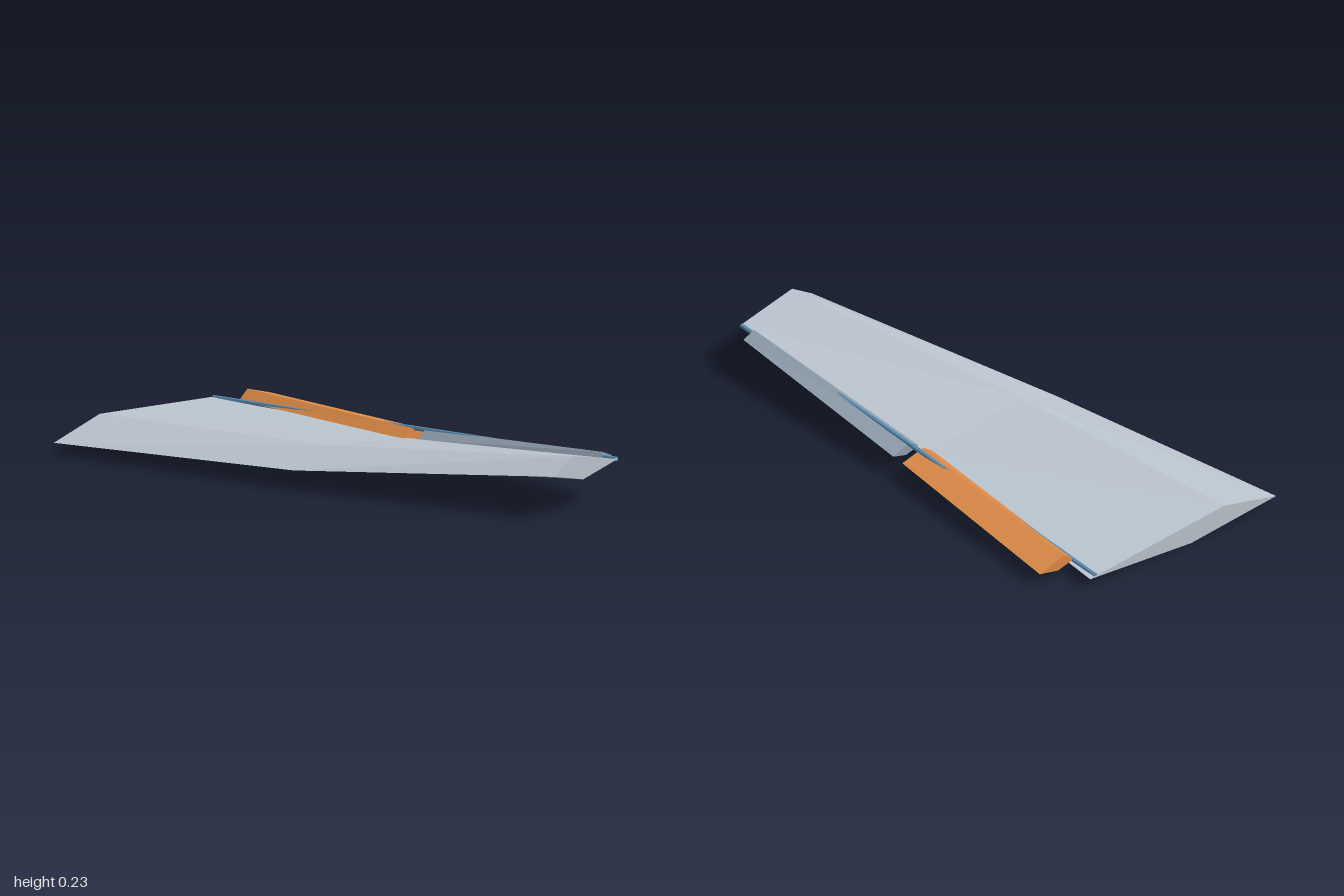
import * as THREE from 'three';

// Closed loft through four-sided sections: each is [x, [z, y] front, crest, trailing edge, keel]
function loft(sections) {
  const pos = [];
  const pts = sections.map(([x, ...ring]) => ring.map(([z, y]) => [x, y, z]));
  const tri = (a, b, c) => pos.push(...a, ...b, ...c);
  for (let i = 0; i < pts.length - 1; i++) {
    const a = pts[i], b = pts[i + 1];
    for (let j = 0; j < 4; j++) {
      const k = (j + 1) % 4;
      tri(a[j], b[k], a[k]);
      tri(a[j], b[j], b[k]);
    }
  }
  // End caps
  const s = pts[0], e = pts[pts.length - 1];
  tri(s[0], s[1], s[2]);
  tri(s[0], s[2], s[3]);
  tri(e[0], e[2], e[1]);
  tri(e[0], e[3], e[2]);
  const geo = new THREE.BufferGeometry();
  geo.setAttribute('position', new THREE.Float32BufferAttribute(pos, 3));
  geo.computeVertexNormals();
  return geo;
}

function material(name, color) {
  const m = new THREE.MeshStandardMaterial({ color, flatShading: true });
  m.name = name;
  return m;
}

export function createModel() {
  const group = new THREE.Group();
  group.name = 'wing';
  const add = (name, geo, mat) => {
    const mesh = new THREE.Mesh(geo, mat);
    mesh.name = name;
    group.add(mesh);
    return mesh;
  };

  // Main wing panel: root, mid and tip sections
  add('wingPanel', loft([
    [-1, [0.53, 0.045], [0.28, 0.108], [-0.367, 0.045], [0.12, 0.003]],
    [0, [0.25, 0.08], [0.08, 0.145], [-0.37, 0.08], [-0.04, 0.04]],
    [1, [-0.145, 0.175], [-0.24, 0.237], [-0.49, 0.175], [-0.3, 0.133]],
  ]), material('paleGrey', 0xbcc6d0));

  // Inboard flap
  add('flap', loft([
    [-0.87, [-0.345, 0.058], [-0.39, 0.095], [-0.508, 0.057], [-0.42, 0.037]],
    [0, [-0.345, 0.082], [-0.39, 0.115], [-0.491, 0.086], [-0.42, 0.063]],
  ]), material('orange', 0xe08c48));

  // Outboard aileron
  add('aileron', loft([
    [0.055, [-0.367, 0.085], [-0.41, 0.117], [-0.491, 0.086], [-0.43, 0.068]],
    [0.927, [-0.463, 0.168], [-0.48, 0.19], [-0.532, 0.166], [-0.49, 0.151]],
  ]), material('blueGrey', 0x92a2b0));

  // Hinge rod running the whole span
  const from = new THREE.Vector3(-1, 0.046, -0.336);
  const to = new THREE.Vector3(1, 0.175, -0.486);
  const dir = to.clone().sub(from);
  const rod = add('hingeRod', new THREE.CylinderGeometry(0.009, 0.009, dir.length() - 0.006, 8), material('steelBlue', 0x5a8fb5));
  rod.position.copy(from).add(to).multiplyScalar(0.5);
  rod.quaternion.setFromUnitVectors(new THREE.Vector3(0, 1, 0), dir.normalize());

  return group;
}
